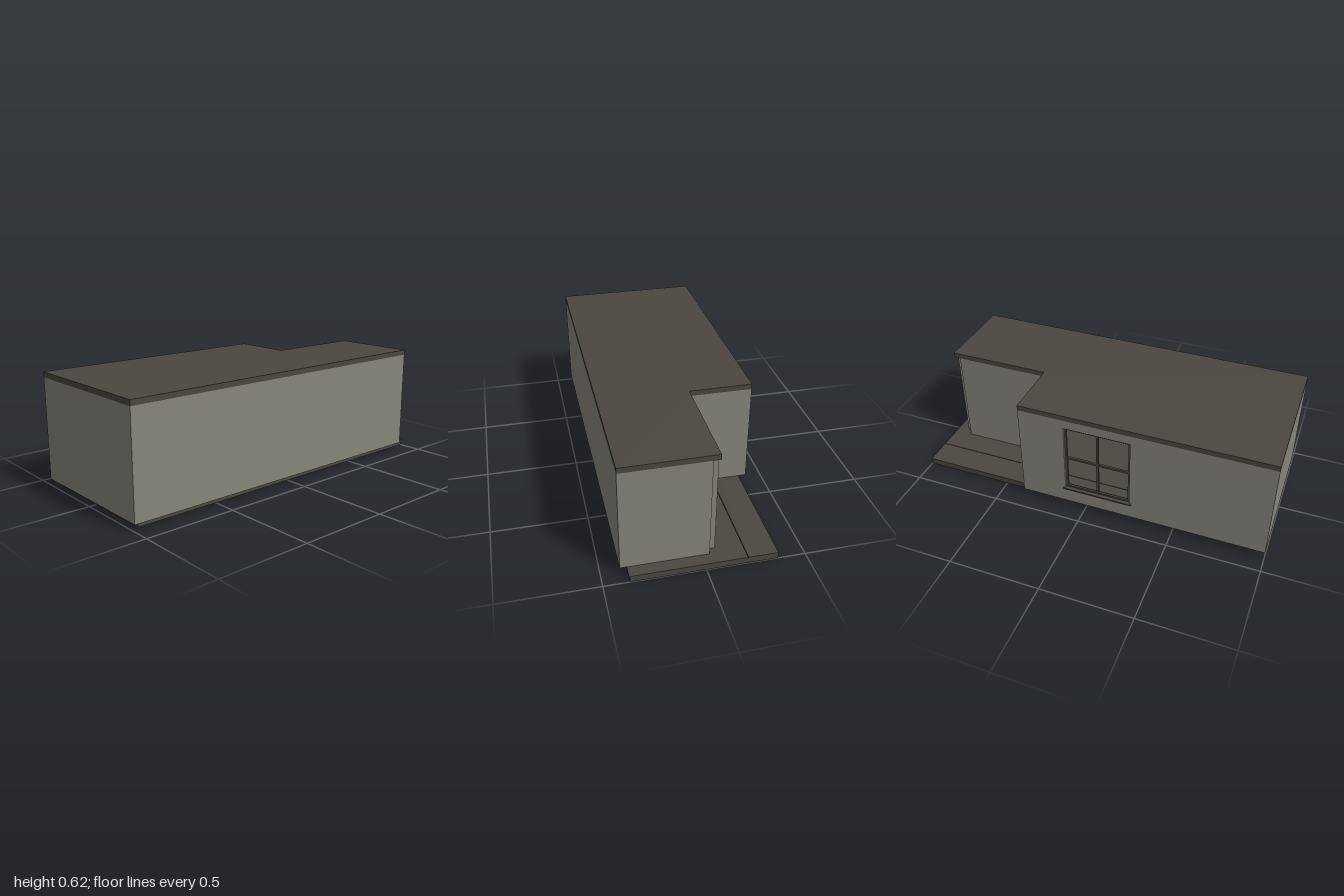
import * as THREE from 'three';

const wallGrey = new THREE.MeshStandardMaterial({ name: 'wall grey', color: 0x87867c });
const darkWood = new THREE.MeshStandardMaterial({ name: 'dark wood', color: 0x4b4740 });

// Box given by its limits on each axis
function block(name, material, [x0, x1], [y0, y1], [z0, z1]) {
  const mesh = new THREE.Mesh(new THREE.BoxGeometry(x1 - x0, y1 - y0, z1 - z0), material);
  mesh.position.set((x0 + x1) / 2, (y0 + y1) / 2, (z0 + z1) / 2);
  mesh.name = name;
  return mesh;
}

function polygon(points) {
  return new THREE.Shape(points.map(([x, y]) => new THREE.Vector2(x, y)));
}

export function createModel() {
  const model = new THREE.Group();
  model.name = 'house';

  const T = 0.036;                       // wall thickness
  const L = -0.402, R = 0.408;           // outer side faces
  const B = -0.935, F = 1;               // outer end faces
  const NX = -0.068, NZ = -0.367;        // inner corner of the porch
  const Y0 = 0.035, Y1 = 0.586, TOP = 0.615;

  // Base slab with a thin floor on it, split in two boards
  model.add(block('baseSlab', darkWood, [-0.36, 0.371], [0, 0.029], [-1, 0.96]));
  model.add(block('floorRight', darkWood, [-0.36, -0.209], [0.029, Y0], [-1, 0.96]));
  model.add(block('floorLeft', darkWood, [-0.206, 0.375], [0.029, Y0], [-1, 0.96]));

  // Solid walls
  const H = [Y0, Y1];
  model.add(block('frontWall', wallGrey, [L, R], H, [F - T, F]));
  model.add(block('leftWallMain', wallGrey, [R - T, R], H, [NZ, F - T]));
  model.add(block('leftWallWing', wallGrey, [R - T, R], H, [B + T, NZ]));
  model.add(block('backWall', wallGrey, [NX + T, R], H, [B, B + T]));
  model.add(block('wingSideWall', wallGrey, [NX, NX + T], H, [B + T, NZ]));
  model.add(block('porchWall', wallGrey, [L + T, NX + T], H, [NZ, NZ + T]));

  // Side wall with the window opening
  const W = { z0: -0.11, z1: 0.257, y0: 0.128, y1: 0.535 };
  const side = polygon([[NZ, Y0], [F - T, Y0], [F - T, Y1], [NZ, Y1]]);
  side.holes.push(polygon([[W.z0, W.y0], [W.z0, W.y1], [W.z1, W.y1], [W.z1, W.y0]]));
  const sideGeo = new THREE.ExtrudeGeometry(side, { depth: T, bevelEnabled: false });
  sideGeo.rotateY(-Math.PI / 2);
  const windowWall = new THREE.Mesh(sideGeo, wallGrey);
  windowWall.name = 'windowWall';
  windowWall.position.x = L + T;
  model.add(windowWall);

  // Window frame, glazing bars and sill
  const win = new THREE.Group();
  win.name = 'window';
  const fx = [L + 0.012, L + 0.024], w = 0.012;
  const zm = (W.z0 + W.z1) / 2, ym = (W.y0 + W.y1) / 2;
  for (const z of [W.z0 + w / 2, zm, W.z1 - w / 2])
    win.add(block('windowUpright', darkWood, fx, [W.y0, W.y1], [z - w / 2, z + w / 2]));
  for (const y of [W.y0 + w / 2, ym, W.y1 - w / 2])
    win.add(block('windowCrossbar', darkWood, fx, [y - w / 2, y + w / 2], [W.z0, W.z1]));
  win.add(block('windowSill', darkWood, [-0.411, L + T], [0.122, 0.13], [-0.12, 0.27]));
  model.add(win);

  // Flat L-shaped roof
  const roofShape = polygon([[L, NZ], [NX, NZ], [NX, B], [R, B], [R, F], [L, F]]);
  const roofGeo = new THREE.ExtrudeGeometry(roofShape, { depth: TOP - Y1, bevelEnabled: false });
  roofGeo.rotateX(Math.PI / 2);
  const roof = new THREE.Mesh(roofGeo, darkWood);
  roof.name = 'roof';
  roof.position.y = TOP;
  model.add(roof);

  return model;
}
